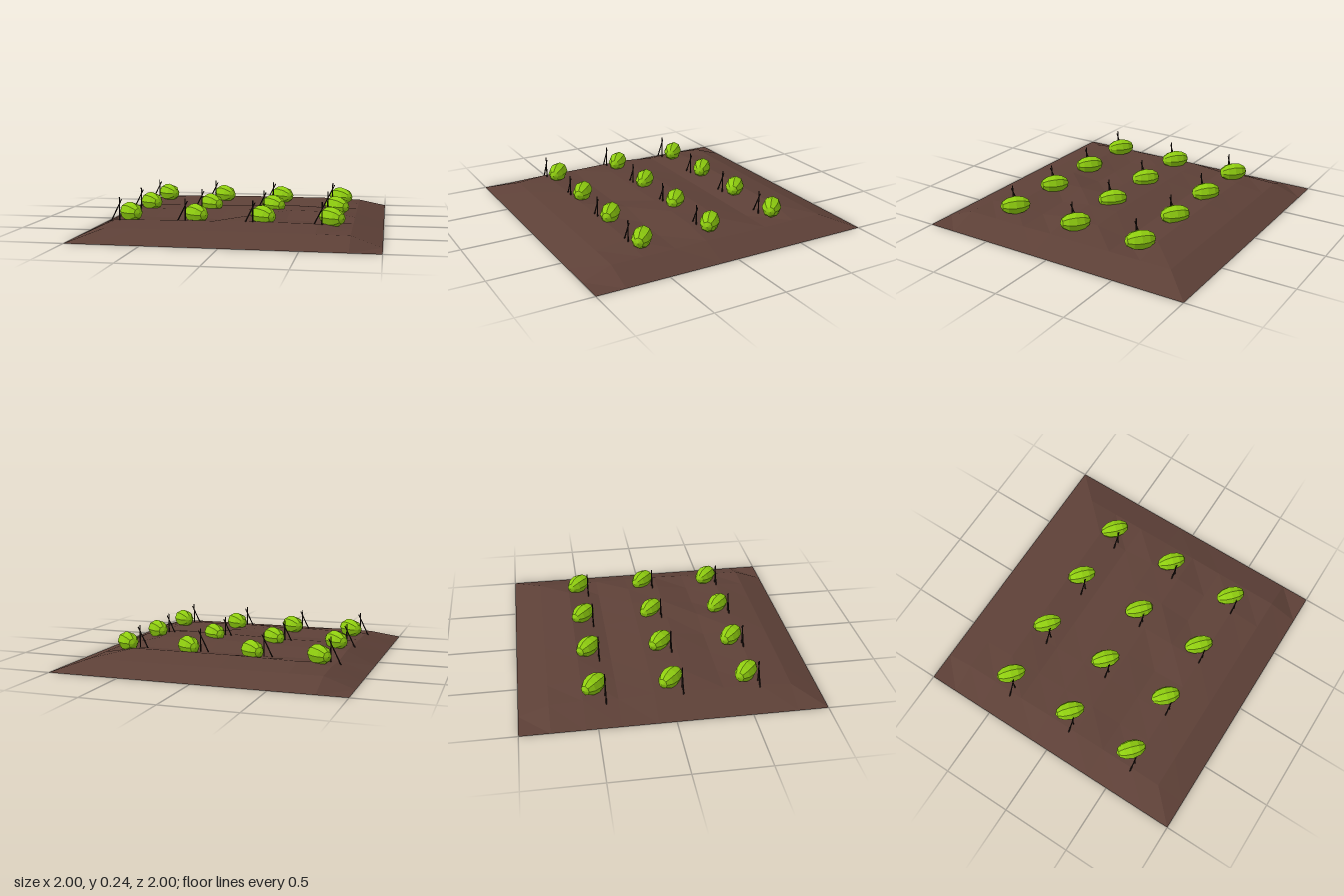
import * as THREE from 'three';

const GRID = [-1, -0.8, -0.58, -0.35, -0.115, 0.115, 0.345, 0.58, 0.8, 1];
// Soil heights in hundredths, inner grid only; rows run back to front, the rim lies on y = 0
const SOIL = [
  [7, 7, 7, 7, 7, 7, 7, 7],
  [8, 10, 10.5, 11, 11, 11, 11, 7],
  [7, 7, 7, 7, 7, 7, 7, 7],
  [9, 9.5, 10, 10.5, 11, 11.3, 10.5, 7],
  [9, 10, 10, 10.5, 11, 11.3, 11, 7.5],
  [8.5, 7.5, 7.5, 7.5, 11, 8, 7.5, 7],
  [9, 9.5, 10, 10, 10.3, 10.3, 10, 7],
  [7, 7.3, 7.3, 7.3, 7.3, 7.3, 7.3, 7],
];

const material = (color, side = THREE.FrontSide) =>
  new THREE.MeshStandardMaterial({ color, side, flatShading: true, roughness: 1 });

function makeSoil() {
  const n = GRID.length;
  const geometry = new THREE.PlaneGeometry(2, 2, n - 1, n - 1).rotateX(-Math.PI / 2);
  const p = geometry.attributes.position;
  for (let i = 0; i < p.count; i++) {
    const col = i % n, row = Math.floor(i / n);
    p.setXYZ(i, GRID[col], (SOIL[row - 1]?.[col - 1] ?? 0) / 100, GRID[row]);
  }
  geometry.computeVertexNormals();
  const soil = new THREE.Mesh(geometry, material(0x5d4037, THREE.DoubleSide));
  soil.name = 'soilBed';
  return soil;
}

// Thin straight stick between two points
function makeStick(name, from, to, mat) {
  const dir = to.clone().sub(from);
  const stick = new THREE.Mesh(new THREE.CylinderGeometry(0.004, 0.005, dir.length(), 5), mat);
  stick.position.copy(from).add(to).multiplyScalar(0.5);
  stick.quaternion.setFromUnitVectors(new THREE.Vector3(0, 1, 0), dir.normalize());
  stick.name = name;
  return stick;
}

export function createModel() {
  const model = new THREE.Group();
  model.name = 'cropField';
  model.add(makeSoil());

  // Oval faceted fruit, poles at the ends of its long axis
  const fruitGeometry = new THREE.SphereGeometry(1, 8, 6)
    .rotateZ(Math.PI / 2)
    .scale(0.105, 0.068, 0.066)
    .rotateY(-0.73);
  const fruitMaterial = material(0x8fce0f);
  const stickMaterial = material(0x211714);

  for (const z of [-0.5, 0.005, 0.515]) {
    for (let i = 0; i < 4; i++) {
      const plant = new THREE.Group();
      plant.name = 'plant';
      plant.position.set(-0.7 + i * 0.455, 0, z);

      const fruit = new THREE.Mesh(fruitGeometry, fruitMaterial);
      fruit.name = 'fruit';
      fruit.position.y = 0.137;
      plant.add(fruit);

      // Upright stake crossed by a leaning one
      plant.add(
        makeStick('uprightStake', new THREE.Vector3(-0.06, 0.05, 0.068), new THREE.Vector3(-0.06, 0.245, 0.068), stickMaterial),
        makeStick('leaningStake', new THREE.Vector3(-0.135, 0.05, 0.068), new THREE.Vector3(-0.045, 0.23, 0.068), stickMaterial),
      );
      model.add(plant);
    }
  }
  return model;
}
